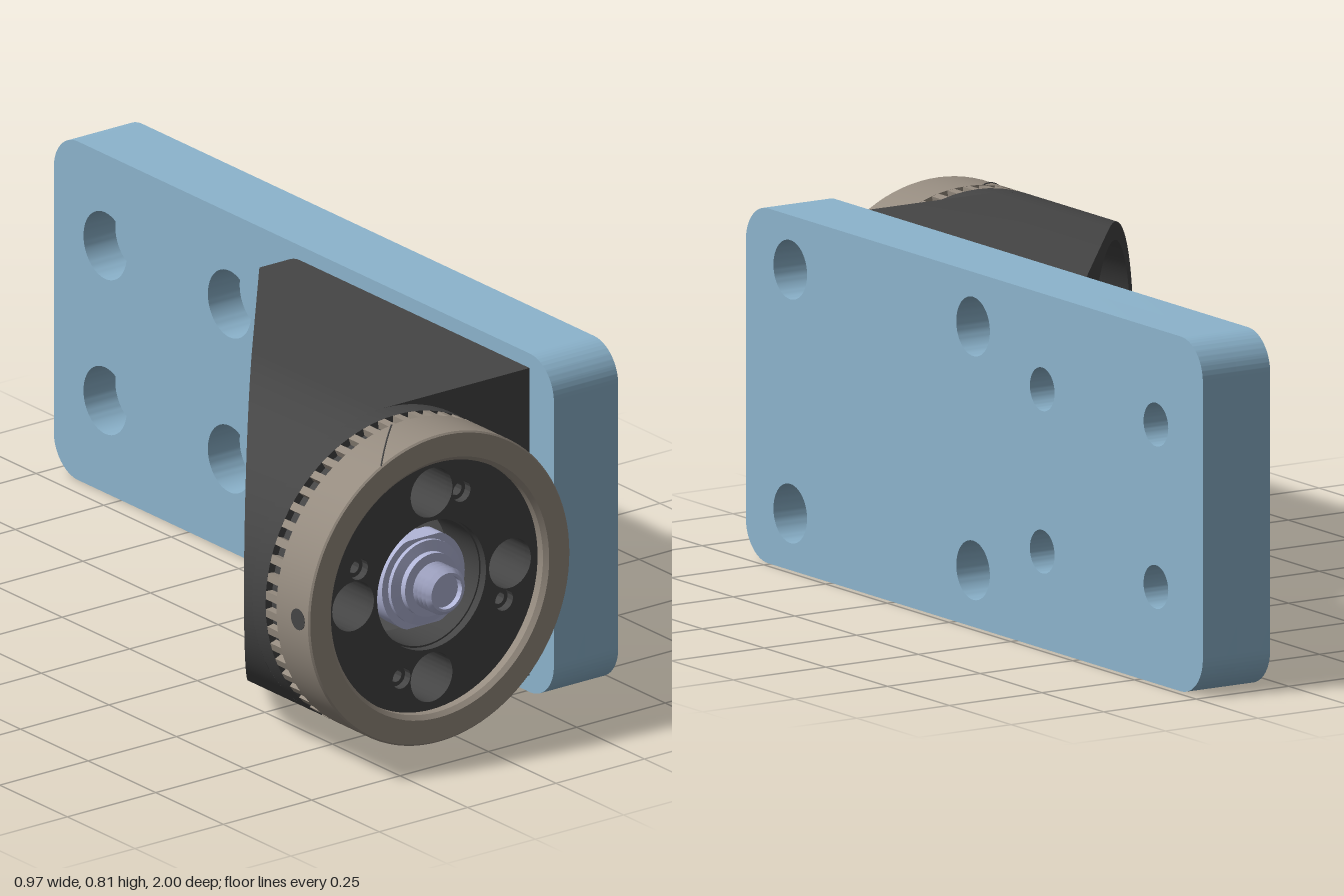
import * as THREE from 'three';
import { mergeGeometries, toCreasedNormals } from 'three/addons/utils/BufferGeometryUtils.js';

const CX = -0.115, CY = 0.41, R = 0.37;        // axis and radius of the round head
const XP = 0.30;                               // mounting plane between housing and plate
const SLOPE = 0.9 / 0.735, CORNER = 0.08;
const CAVITY = 0.33, SHOULDER = 0.76;

const material = (color) => new THREE.MeshStandardMaterial({ color, side: THREE.DoubleSide });
const dark = material(0x454545), brown = material(0x968c80);
const blue = material(0x8cb4cd), lavender = material(0xb2b6d8);

const V = (x, y, z) => new THREE.Vector3(x, y, z);
const range = (n, f) => Array.from({ length: n + 1 }, (_, i) => f(i / n));

function addMesh(parent, name, geometry, mat) {
  const mesh = new THREE.Mesh(toCreasedNormals(geometry, 0.6), mat);
  mesh.name = name;
  parent.add(mesh);
  return mesh;
}

function addHole(shape, x, y, r, rx = r) {
  shape.holes.push(new THREE.Path().absellipse(x, y, rx, r, 0, Math.PI * 2, true));
}

// ruled surface between two rows of points
function strip(a, b) {
  const pos = [];
  for (let i = 0; i < a.length - 1; i++) {
    for (const p of [a[i], b[i], b[i + 1], a[i], b[i + 1], a[i + 1]]) pos.push(p.x, p.y, p.z);
  }
  const g = new THREE.BufferGeometry();
  g.setAttribute('position', new THREE.Float32BufferAttribute(pos, 3));
  g.computeVertexNormals();
  return g;
}

// profile of [radius, z] turned around the head axis
function turned(profile, segments = 72) {
  const pts = profile.map(([r, z]) => new THREE.Vector2(r, z));
  return new THREE.LatheGeometry(pts, segments).rotateX(Math.PI / 2).translate(CX, CY, 0);
}

function extruded(shape, z, depth) {
  return new THREE.ExtrudeGeometry(shape, { depth, bevelEnabled: false, curveSegments: 32 }).translate(0, 0, z);
}

// slanted back face and the rounded end of the mounting foot
const slant = (x) => 0.73 - (x + 0.485) * SLOPE;
const slantX = (z) => (0.73 - z) / SLOPE - 0.485;
function footEnd(y) {
  const d = Math.min(CORNER, Math.max(0, Math.abs(y - CY) - (R - CORNER)));
  return -0.17 + CORNER - Math.sqrt(CORNER * CORNER - d * d);
}
const footX = (y) => slantX(footEnd(y));
const screwY = [CY - 0.28, CY + 0.28], screwZ = -0.07, screwR = 0.04;

function buildPlate() {
  const plate = new THREE.Group();
  plate.name = 'mountingPlate';
  // two layers, so each hole can be wider on one side
  for (const [name, x, mountR, fixR] of [['innerLayer', XP, screwR, 0.08], ['outerLayer', 0.39, 0.068, 0.05]]) {
    const [u0, u1, y0, y1, r] = [-0.85, 1, 0, 0.815, 0.09];
    const s = new THREE.Shape();
    s.absarc(u0 + r, y0 + r, r, Math.PI, Math.PI * 1.5);
    s.absarc(u1 - r, y0 + r, r, Math.PI * 1.5, Math.PI * 2);
    s.absarc(u1 - r, y1 - r, r, 0, Math.PI / 2);
    s.absarc(u0 + r, y1 - r, r, Math.PI / 2, Math.PI);
    for (const u of [-0.67, 0.07]) for (const y of screwY) addHole(s, u, y, mountR);
    for (const u of [0.35, 0.81]) for (const y of [0.222, 0.595]) addHole(s, u, y, fixR);
    addMesh(plate, name, extruded(s, 0, x === XP ? 0.09 : 0.092).rotateY(Math.PI / 2).translate(x, 0, 0), blue);
  }
  return plate;
}

function buildHousing() {
  const housing = new THREE.Group();
  housing.name = 'housing';
  const arc = range(60, (t) => {
    const a = Math.PI * (0.5 + t);
    return V(CX + R * Math.cos(a), CY + R * Math.sin(a), 0);
  });

  // outer skin from the shoulder back to the slanted cut
  const top = CY + R, bottom = CY - R, xe = footX(top);
  const outline = [V(XP, top, 0), V(xe, top, 0), ...arc, V(xe, bottom, 0), V(XP, bottom, 0)];
  addMesh(housing, 'outerSkin', strip(
    outline.map((p) => V(p.x, p.y, SHOULDER)),
    outline.map((p) => V(p.x, p.y, Math.max(slant(p.x), footEnd(p.y))))), dark);

  // end of the foot
  const corner = (t) => CORNER * Math.cos(t * Math.PI / 2);
  const ys = [
    ...range(10, (t) => bottom + CORNER - corner(t)),
    ...range(10, (t) => top - CORNER + corner(1 - t)),
  ];
  addMesh(housing, 'footEnd', strip(
    ys.map((y) => V(footX(y), y, footEnd(y))),
    ys.map((y) => V(XP, y, footEnd(y)))), dark);

  // slanted face with the large opening and two screw holes
  const face = new THREE.Shape([...arc, ...ys.map((y) => V(footX(y), y, 0))].map((p) => new THREE.Vector2(p.x, p.y)));
  addHole(face, CX, CY, CAVITY);
  for (const y of screwY) addHole(face, slantX(screwZ), y, screwR, screwR / SLOPE);
  const faceGeo = new THREE.ShapeGeometry(face, 36);
  const p = faceGeo.attributes.position;
  for (let i = 0; i < p.count; i++) p.setZ(i, slant(p.getX(i)));
  faceGeo.computeVertexNormals();
  addMesh(housing, 'slantedFace', faceGeo, dark);

  // screw bores through the foot
  for (const y of screwY) {
    const ring = range(32, (t) => V(0, y + screwR * Math.sin(t * 2 * Math.PI), screwZ + screwR * Math.cos(t * 2 * Math.PI)));
    addMesh(housing, 'screwBore', strip(
      ring.map((q) => V(slantX(q.z), q.y, q.z)), ring.map((q) => V(XP, q.y, q.z))), dark);
  }

  // face against the plate
  const foot = new THREE.Shape([
    new THREE.Vector2(-SHOULDER, top), new THREE.Vector2(-SHOULDER, bottom),
    ...ys.map((y) => new THREE.Vector2(-footEnd(y), y)),
  ]);
  for (const y of screwY) addHole(foot, -screwZ, y, screwR);
  addMesh(housing, 'footFace', new THREE.ShapeGeometry(foot, 16).rotateY(Math.PI / 2).translate(XP, 0, 0), dark);

  // cavity wall
  const circle = range(72, (t) => V(CX + CAVITY * Math.cos(t * 2 * Math.PI), CY + CAVITY * Math.sin(t * 2 * Math.PI), 0));
  addMesh(housing, 'cavityWall', strip(
    circle.map((q) => V(q.x, q.y, slant(q.x))), circle.map((q) => V(q.x, q.y, 0.81))), dark);

  // shoulder beside the round collar
  const shoulder = new THREE.Shape();
  shoulder.moveTo(CX, top);
  shoulder.lineTo(XP, top);
  shoulder.lineTo(XP, bottom);
  shoulder.lineTo(CX, bottom);
  shoulder.absarc(CX, CY, R, -Math.PI / 2, Math.PI / 2, false);
  addMesh(housing, 'shoulder', new THREE.ShapeGeometry(shoulder, 36).translate(0, 0, SHOULDER), dark);
  addMesh(housing, 'collar', turned([[R, SHOULDER], [R, 0.81], [0.352, 0.81], [0.352, 0.86]]), dark);

  // front disc with centre opening, four large and four countersunk holes
  for (const [z, depth, centreR, smallR] of [[0.8, 0.12, 0.15, 0.015], [0.92, 0.02, 0.154, 0.025]]) {
    const disc = new THREE.Shape().absarc(CX, CY, 0.335, 0, Math.PI * 2);
    addHole(disc, CX, CY, centreR);
    for (let i = 0; i < 4; i++) {
      const a = i * Math.PI / 2, b = a + Math.PI * 3 / 8;
      addHole(disc, CX + 0.222 * Math.cos(a), CY + 0.222 * Math.sin(a), 0.059);
      addHole(disc, CX + 0.222 * Math.cos(b), CY + 0.222 * Math.sin(b), smallR);
    }
    addMesh(housing, 'frontDisc', extruded(disc, z, depth), dark);
  }
  return housing;
}

function buildRing() {
  const ring = new THREE.Group();
  ring.name = 'clampRing';
  addMesh(ring, 'ringBody', turned([[0.335, 0.85], [R, 0.85], [R, 0.966], [0.366, 0.97],
    [0.31, 0.97], [0.30, 0.96], [0.30, 0.93]], 96), brown);
  const teeth = [];
  for (let i = 0; i < 54; i++) {
    teeth.push(new THREE.BoxGeometry(0.019, 0.022, 0.045)
      .translate(0, 0.3585, 0.8325).rotateZ(i * Math.PI / 27).translate(CX, CY, 0));
  }
  addMesh(ring, 'ringTeeth', mergeGeometries(teeth), brown);
  // radial holes on both sides and the slanted split line on top
  for (const side of [-1, 1]) {
    addMesh(ring, 'radialHole', new THREE.CylinderGeometry(0.025, 0.025, 0.004, 24)
      .rotateZ(Math.PI / 2).translate(CX + side * (R - 0.001), CY, 0.93), dark);
  }
  const split = new THREE.CatmullRomCurve3(range(6, (t) => {
    const a = Math.PI / 2 + 0.46 - 0.34 * t;
    return V(CX + R * Math.cos(a), CY + R * Math.sin(a), 0.968 - 0.118 * t);
  }));
  addMesh(ring, 'splitLine', new THREE.TubeGeometry(split, 12, 0.002, 6), dark);
  return ring;
}

function buildConnector() {
  const connector = new THREE.Group();
  connector.name = 'connector';
  const thread = (r, z0, z1, n) => range(2 * n, (t) => [r - (Math.round(t * 2 * n) % 2) * 0.007, z0 + (z1 - z0) * t]);
  addMesh(connector, 'rearBarrel', turned([[0, 0.76], [0.062, 0.76], [0.062, 0.70], [0.078, 0.70],
    ...thread(0.085, 0.71, 0.82, 5), [0.1, 0.82], [0.1, 0.87]], 40), lavender);
  const nut = new THREE.Shape(range(64, (t) => new THREE.Vector2(CX + 0.117 * Math.cos(t * 2 * Math.PI),
    CY + THREE.MathUtils.clamp(0.117 * Math.sin(t * 2 * Math.PI), -0.106, 0.106))).slice(0, -1));
  addMesh(connector, 'nut', extruded(nut, 0.86, 0.05), lavender);
  addMesh(connector, 'frontStud', turned([[0.1, 0.91], [0.1, 0.92], [0.075, 0.925], [0.075, 0.94], [0.05, 0.94],
    ...thread(0.056, 0.945, 0.99, 3), [0.046, 1], [0.04, 1], [0.04, 0.985], [0, 0.985]], 40), lavender);
  for (let i = 0; i < 5; i++) {
    const a = i * Math.PI * 0.4;
    addMesh(connector, 'pin', new THREE.CylinderGeometry(0.008, 0.008, 0.05, 10).rotateX(Math.PI / 2)
      .translate(CX + 0.036 * Math.cos(a), CY + 0.036 * Math.sin(a), 0.735), lavender);
  }
  return connector;
}

export function createModel() {
  const model = new THREE.Group();
  model.name = 'angleBracket';
  model.add(buildPlate(), buildHousing(), buildRing(), buildConnector());
  return model;
}
